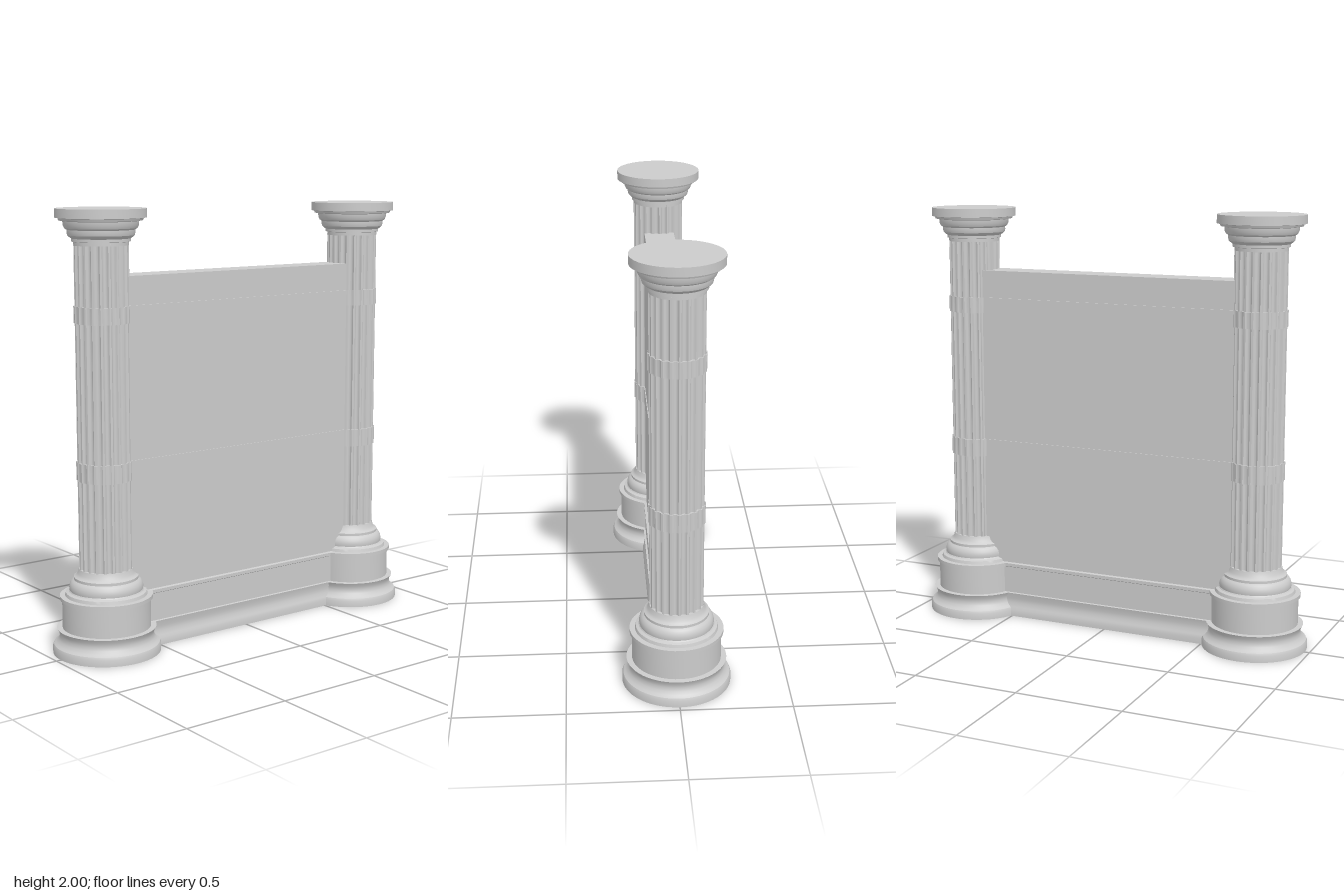
import * as THREE from 'three';
import { toCreasedNormals } from 'three/addons/utils/BufferGeometryUtils.js';

const material = new THREE.MeshStandardMaterial({ color: 0xcccccc, side: THREE.DoubleSide });
const COLUMN_X = 0.731;

function addMesh(parent, name, geometry) {
  const mesh = new THREE.Mesh(toCreasedNormals(geometry, 0.5), material);
  mesh.name = name;
  parent.add(mesh);
  return mesh;
}

// Turned part from [radius, height] pairs
function turned(profile) {
  return new THREE.LatheGeometry(profile.map(([r, y]) => new THREE.Vector2(r, y)), 64);
}

// Upright prism with scalloped flutes between narrow flat fillets
function fluted(radius, depth, y0, y1, count = 20) {
  const shape = new THREE.Shape();
  const steps = 8;
  for (let i = 0; i < count * steps; i++) {
    const t = (i % steps) / steps;
    const cut = t < 0.25 ? 0 : Math.sin(((t - 0.25) / 0.75) * Math.PI);
    const r = radius - depth * Math.sqrt(cut);
    const a = (i / (count * steps)) * Math.PI * 2;
    shape[i ? 'lineTo' : 'moveTo'](r * Math.cos(a), r * Math.sin(a));
  }
  const geometry = new THREE.ExtrudeGeometry(shape, { depth: y1 - y0, bevelEnabled: false });
  return geometry.rotateX(-Math.PI / 2).translate(0, y0, 0);
}

function createColumn(name, x) {
  const column = new THREE.Group();
  column.name = name;
  column.position.x = x;

  // Hollow foot with a swept moulding
  addMesh(column, 'foot', turned([
    [0.246, 0], [0.246, 0.03], [0.241, 0.042], [0.23, 0.05], [0.219, 0.063],
    [0.214, 0.08], [0.217, 0.098], [0.226, 0.115], [0.201, 0.116],
  ]));
  addMesh(column, 'pedestalDrum', turned([[0.201, 0.116], [0.201, 0.246]]));
  // Pedestal cornice, rounded ring and neck below the shaft
  addMesh(column, 'shaftBase', turned([
    [0.201, 0.246], [0.211, 0.248], [0.211, 0.265], [0.187, 0.266], [0.183, 0.28],
    [0.17, 0.285], [0.166, 0.29], [0.168, 0.303], [0.164, 0.32], [0.156, 0.333],
    [0.146, 0.34], [0.146, 0.352], [0.136, 0.357], [0.128, 0.368], [0.122, 0.388], [0.1, 0.388],
  ]));

  addMesh(column, 'flutedShaft', fluted(0.121, 0.012, 0.38, 1.85));
  [[0.795, 0.88], [1.5, 1.575]].forEach(([y0, y1]) =>
    addMesh(column, 'shaftBand', fluted(0.126, 0.007, y0, y1)));

  // Capital with stepped rings, cushion and round slab
  addMesh(column, 'capital', turned([
    [0.1, 1.84], [0.121, 1.84], [0.121, 1.855], [0.13, 1.857], [0.13, 1.87],
    [0.14, 1.877], [0.147, 1.884], [0.15, 1.895], [0.15, 1.908], [0.16, 1.915],
    [0.166, 1.928], [0.167, 1.945], [0.184, 1.948], [0.188, 1.958],
    [0.201, 1.96], [0.201, 2], [0, 2],
  ]));
  return column;
}

// Wall cross-section: [half thickness, height] up one face, mirrored to the other
function createWall() {
  const side = [
    [0.096, 0], [0.096, 0.03], [0.09, 0.045], [0.084, 0.065], [0.083, 0.085],
    [0.09, 0.115], [0.08, 0.117], [0.08, 0.246], [0.087, 0.25], [0.087, 0.265], [0.073, 0.268],
    [0.073, 0.795], [0.077, 0.795], [0.077, 0.88], [0.073, 0.88],
    [0.073, 1.5], [0.079, 1.5], [0.079, 1.575], [0.073, 1.575], [0.073, 1.705],
  ];
  const mirrored = side.map(([z, y]) => [-z, y]).reverse();
  const shape = new THREE.Shape([...side, ...mirrored].map(([z, y]) => new THREE.Vector2(z, y)));
  const length = 1.4;
  const geometry = new THREE.ExtrudeGeometry(shape, { depth: length, bevelEnabled: false });
  return geometry.translate(0, 0, -length / 2).rotateY(Math.PI / 2);
}

export function createModel() {
  const model = new THREE.Group();
  model.name = 'columnedWall';
  model.add(createColumn('leftColumn', COLUMN_X), createColumn('rightColumn', -COLUMN_X));
  addMesh(model, 'wall', createWall());
  return model;
}
